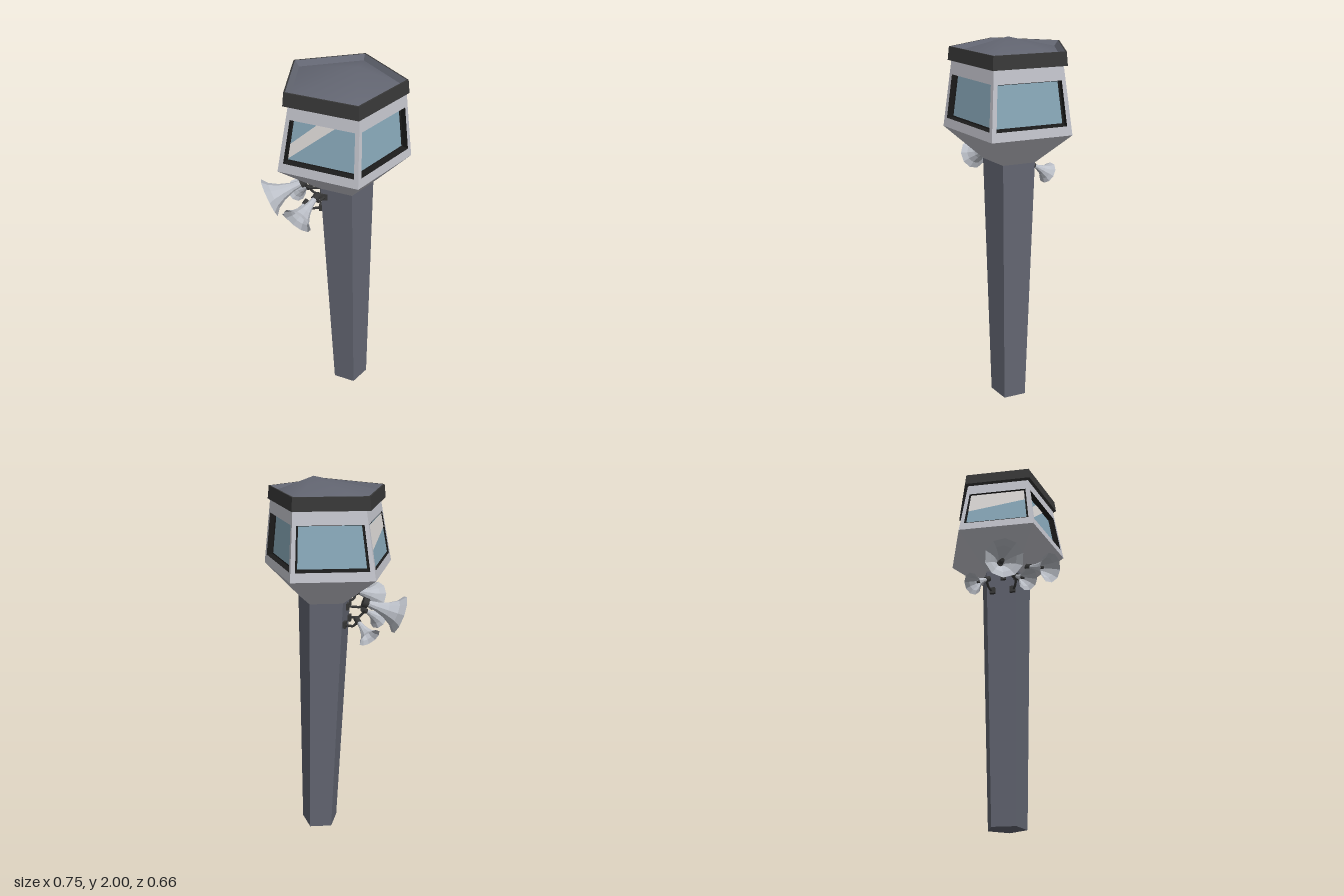
import * as THREE from 'three';
import { mergeVertices } from 'three/addons/utils/BufferGeometryUtils.js';

const STEP = Math.PI * 2 / 5;
const mat = (name, color, side = THREE.FrontSide) => {
  const m = new THREE.MeshStandardMaterial({ color, side });
  m.name = name;
  return m;
};

// Corner k of a pentagon ring [centreX, radius, y], with one corner towards +x
const corner = ([cx, r, y], k) =>
  new THREE.Vector3(cx + r * Math.cos(k * STEP), y, r * Math.sin(k * STEP));

// Flat-shaded geometry from convex polygons
function polygons(list) {
  const pts = [];
  for (const p of list)
    for (let i = 1; i < p.length - 1; i++) pts.push(p[0], p[i], p[i + 1]);
  const g = new THREE.BufferGeometry().setFromPoints(pts);
  g.computeVertexNormals();
  return g;
}

// Five-sided skin through a stack of rings
function loft(rings) {
  const list = [];
  for (let i = 0; i < rings.length - 1; i++)
    for (let k = 0; k < 5; k++) {
      const lo = rings[i], hi = rings[i + 1];
      const a = corner(lo, k), b = corner(lo, k + 1), c = corner(hi, k + 1), d = corner(hi, k);
      if (hi[1] === 0) list.push([a, d, b]);
      else if (lo[1] === 0) list.push([a, d, c]);
      else list.push([a, d, c, b]);
    }
  return polygons(list);
}

export function createModel() {
  const model = new THREE.Group();
  model.name = 'controlTower';
  const slate = mat('slate', 0x636672);
  const wall = mat('pale grey', 0xc3c4cc);
  const charcoal = mat('charcoal', 0x383838);
  const black = mat('black', 0x1c1c1c, THREE.DoubleSide);
  const glass = mat('blue glass', 0x88a8b9);
  const shine = mat('reflection', 0xdedad8);
  const hornGrey = mat('horn grey', 0xbcc0c8, THREE.DoubleSide);
  const add = (name, geo, material, parent = model) => {
    const m = new THREE.Mesh(geo, material);
    m.name = name;
    parent.add(m);
    return m;
  };

  // Leaning shaft and the flared underside of the cabin
  const shaftTop = [0.046, 0.144, 1.385];
  const low = [0.021, 0.349, 1.55], high = [0.035, 0.292, 1.89];
  add('shaft', loft([[0.085, 0, 0], [0.085, 0.105, 0], shaftTop]), slate);
  add('cabinUnderside', loft([shaftTop, low]), wall);

  // Cabin walls, each with a recessed window
  for (let k = 0; k < 5; k++) {
    const side = new THREE.Group();
    side.name = 'cabinWall' + (k + 1);
    model.add(side);
    const th = (k + 0.5) * STEP;
    const inward = new THREE.Vector3(-Math.cos(th), 0, -Math.sin(th));
    const P = (u, v, d = 0) => {
      const bottom = corner(low, k).lerp(corner(low, k + 1), u);
      const top = corner(high, k).lerp(corner(high, k + 1), u);
      return bottom.lerp(top, v).addScaledVector(inward, d);
    };
    const W = (s, t, d) => P(0.055 + 0.89 * s, 0.135 + 0.64 * t, d);
    const square = [[0, 0], [0, 1], [1, 1], [1, 0]];
    const depth = k === 2 ? 0.01 : 0.034;
    const surround = [], reveal = [];
    square.forEach(([s, t], i) => {
      const [s2, t2] = square[(i + 1) % 4];
      surround.push([P(s, t), P(s2, t2), W(s2, t2, 0), W(s, t, 0)]);
      reveal.push([W(s, t, 0), W(s2, t2, 0), W(s2, t2, depth), W(s, t, depth)]);
    });
    reveal.push(square.map(([s, t]) => W(s, t, depth)));
    add('wallPanel', polygons(surround), wall, side);
    add('windowFrame', polygons(reveal), black, side);
    const pane = (pts, d) => polygons([pts.map(([s, t]) => W(0.03 + 0.94 * s, 0.04 + 0.92 * t, d))]);
    add('windowPane', pane(square, depth - 0.003), glass, side);
    // Reflections on the front and right-hand panes
    const streak = {
      1: [[1, 0.03], [0.3, 1], [0.6, 1], [1, 0.4]].reverse(),
      2: [[0, 0.65], [0, 1], [1, 1], [1, 0.4]],
    }[k];
    if (streak) {
      const g = pane(streak, depth - 0.006);
      const n = g.getAttribute('normal');
      const outward = n.getX(0) * inward.x + n.getZ(0) * inward.z < 0;
      add('reflection', outward ? g : pane([...streak].reverse(), depth - 0.006), shine, side);
    }
  }

  // Roof fascia, sloping inner rim and shallow off-centre peak
  add('roofFascia', loft([[0.035, 0.27, 1.88], [0.027, 0.314, 1.88], [0.027, 0.306, 1.945],
    [0.027, 0.297, 1.945]]), charcoal);
  add('roofRim', loft([[0.027, 0.297, 1.945], [0.03, 0.274, 1.92]]), slate);
  const peak = loft([[0.03, 0.274, 1.92], [0.1, 0, 2]]);
  peak.deleteAttribute('normal');
  const roof = mergeVertices(peak);
  roof.computeVertexNormals();
  add('roof', roof, slate);

  // Loudspeaker horns: mouth centre, direction, mouth radius, length, anchor on shaft
  const horns = [
    [[-0.165, 1.32, 0.28], [-0.5, -0.38, 0.78], 0.08, 0.15, [-0.045, 1.34, 0.08]],
    [[-0.337, 1.3, 0.06], [-0.88, -0.36, 0.28], 0.103, 0.18, [-0.05, 1.34, 0.01]],
    [[-0.22, 1.23, -0.13], [-0.6, -0.5, -0.5], 0.06, 0.11, [-0.05, 1.26, -0.05]],
    [[-0.21, 1.235, 0.165], [-0.5, -0.5, 0.6], 0.06, 0.11, [-0.05, 1.26, 0.06]],
  ];
  for (const [mouth, dir, r, len, anchor] of horns) {
    const horn = new THREE.Group();
    horn.name = 'loudspeaker';
    const d = new THREE.Vector3(...dir).normalize();
    const neck = new THREE.Vector3(...mouth).addScaledVector(d, -len);
    horn.position.copy(neck);
    horn.quaternion.setFromUnitVectors(new THREE.Vector3(0, 1, 0), d);
    model.add(horn);
    const profile = [[0.16, 0], [0.24, 0.3], [0.42, 0.6], [0.68, 0.85], [1, 1]]
      .map(([a, b]) => new THREE.Vector2(a * r, b * len));
    const bell = new THREE.LatheGeometry(profile, 10).toNonIndexed();
    bell.computeVertexNormals();
    add('hornBell', bell, hornGrey, horn);
    const plug = add('hornThroat', new THREE.CylinderGeometry(r * 0.1, r * 0.14, len * 0.3, 8), charcoal, horn);
    plug.position.y = len * 0.5;
    const driver = add('hornDriver', new THREE.CylinderGeometry(r * 0.25, r * 0.25, 0.03, 8), charcoal, horn);
    driver.position.y = -0.01;
    // Bent bracket back to the shaft
    const end = new THREE.Vector3(...anchor);
    const path = new THREE.CurvePath();
    const elbow = new THREE.Vector3(neck.x, end.y, neck.z).lerp(end, 0.3);
    path.add(new THREE.LineCurve3(neck, elbow));
    path.add(new THREE.LineCurve3(elbow, end));
    add('hornBracket', new THREE.TubeGeometry(path, 8, 0.007, 5), charcoal);
    const plate = add('bracketPlate', new THREE.BoxGeometry(0.04, 0.035, 0.03), charcoal);
    plate.position.copy(end).setX(end.x - 0.01);
  }
  return model;
}
